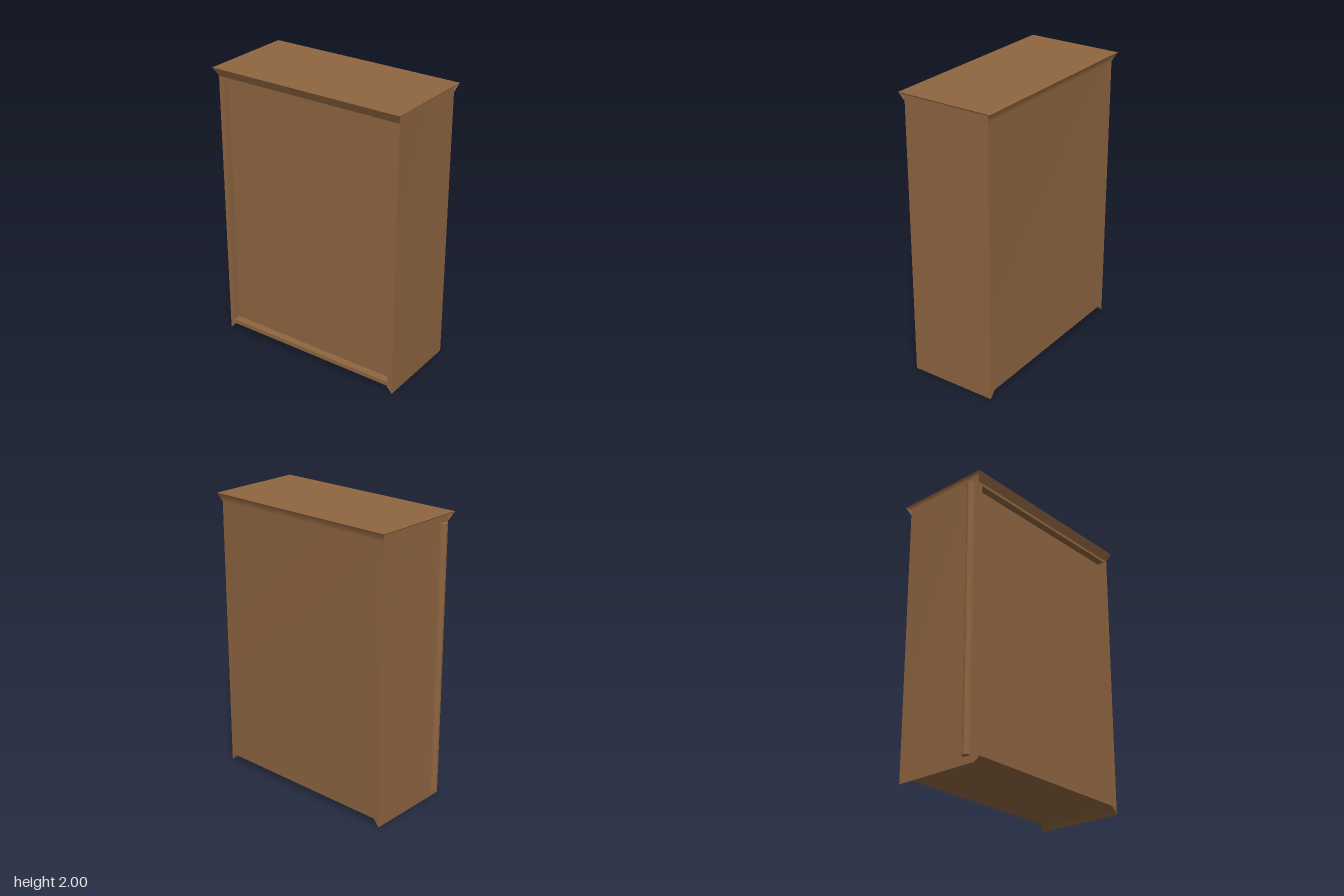
import * as THREE from 'three';

const X = 0.315, TX = 0.345;            // half widths of body and cornice
const ZF = 0.704, ZB = -0.69;           // front and back of body
const TF = 0.725, TB = -0.718;          // front and back of cornice
const BASE = 0.05, EAVE = 1.94, LIP = 1.98, TOP = 2;
const FF = 0.66, FB = -0.648;           // inner ends of the feet

export function createModel() {
  const wood = new THREE.MeshStandardMaterial({ color: 0x8f6541 });
  wood.name = 'brown wood';
  const model = new THREE.Group();
  model.name = 'cabinet';

  const add = (name, geometry) => {
    const mesh = new THREE.Mesh(geometry, wood);
    mesh.name = name;
    model.add(mesh);
    return mesh;
  };

  // Smooth strip: rows of [left, right] points from bottom to top, seen from outside
  const strip = (name, rows) => {
    const g = new THREE.BufferGeometry();
    g.setAttribute('position', new THREE.Float32BufferAttribute(rows.flat(2), 3));
    const index = [];
    for (let i = 0; i < rows.length - 1; i++) {
      const a = i * 2;
      index.push(a, a + 1, a + 3, a, a + 3, a + 2);
    }
    g.setIndex(index);
    g.computeVertexNormals();
    return add(name, g);
  };

  // Front and back, each running into the flared lip under the top
  strip('front', [[[-X, 0, ZF], [X, 0, ZF]], [[-X, LIP, ZF], [X, LIP, ZF]], [[-TX, TOP, TF], [TX, TOP, TF]]]);
  strip('back', [[[X, 0, ZB], [-X, 0, ZB]], [[X, LIP, ZB], [-X, LIP, ZB]], [[TX, TOP, TB], [-TX, TOP, TB]]]);

  // Plain left side with its flared cornice
  strip('leftSide', [[[X, BASE, ZF], [X, BASE, ZB]], [[X, EAVE, ZF], [X, EAVE, ZB]], [[TX, TOP, TF], [TX, TOP, TB]]]);
  strip('frontFootEnd', [[[X, 0, ZF], [X, 0, ZF]], [[X, BASE, ZF], [X, BASE, FF]]]);
  strip('backFootEnd', [[[X, 0, ZB], [X, 0, ZB]], [[X, BASE, FB], [X, BASE, ZB]]]);

  // Top and underside, with bevelled feet
  strip('top', [[[-TX, TOP, TF], [TX, TOP, TF]], [[-TX, TOP, TB], [TX, TOP, TB]]]);
  strip('underside', [[0, ZB], [BASE, FB], [BASE, FF], [0, ZF]].map(([y, z]) => [[-X, y, z], [X, y, z]]));

  // Cornice corners
  for (const sx of [1, -1]) for (const front of [true, false]) {
    const z = front ? ZF : ZB;
    const a = [sx * X, EAVE, z], c = [sx * X, LIP, z], b = [sx * TX, TOP, front ? TF : TB];
    strip('corniceCorner', [[a, a], (sx > 0) === front ? [c, b] : [b, c]]);
  }

  // Right side: a frame around a recessed panel
  const z0 = -0.655, z1 = 0.668, y0 = 0.08, y1 = 1.92, d = -0.262;
  const frame = new THREE.Shape([[ZB, 0], [FB, BASE], [FF, BASE], [ZF, 0], [ZF, EAVE], [ZB, EAVE]]
    .map(([z, y]) => new THREE.Vector2(z, y)));
  frame.holes.push(new THREE.Path([[z0, y0], [z0, y1], [z1, y1], [z1, y0]]
    .map(([z, y]) => new THREE.Vector2(z, y))));
  add('rightFrame', new THREE.ShapeGeometry(frame).rotateY(-Math.PI / 2).translate(-X, 0, 0));
  strip('rightCornice', [[[-X, EAVE, ZB], [-X, EAVE, ZF]], [[-TX, TOP, TB], [-TX, TOP, TF]]]);
  strip('rightPanel', [[[d, y0, z0], [d, y0, z1]], [[d, y1, z0], [d, y1, z1]]]);
  strip('recessFrontWall', [[[d, y0, z1], [-X, y0, z1]], [[d, y1, z1], [-X, y1, z1]]]);
  strip('recessBackWall', [[[-X, y0, z0], [d, y0, z0]], [[-X, y1, z0], [d, y1, z0]]]);
  strip('recessFloor', [[[-X, y0, z1], [d, y0, z1]], [[-X, y0, z0], [d, y0, z0]]]);
  strip('recessCeiling', [[[-X, y1, z0], [d, y1, z0]], [[-X, y1, z1], [d, y1, z1]]]);

  // Half-round rail on the back
  const rail = add('backRail', new THREE.CylinderGeometry(0.028, 0.028, EAVE - BASE, 24, 1, false, Math.PI / 2, Math.PI));
  rail.scale.z = 0.036 / 0.028;
  rail.position.set(-0.256, (EAVE + BASE) / 2, ZB);

  return model;
}
